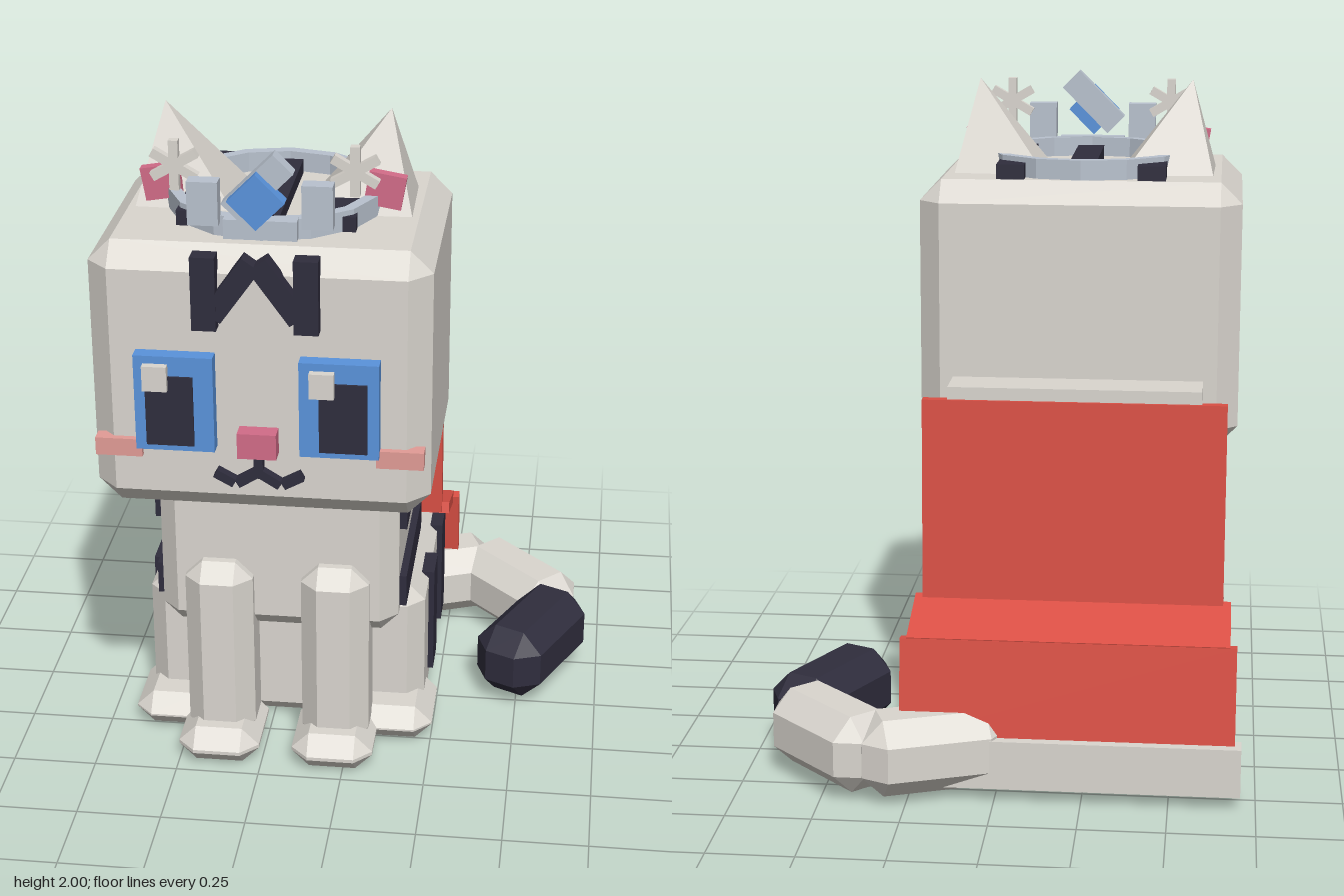
import * as THREE from 'three';
import { ConvexGeometry } from 'three/addons/geometries/ConvexGeometry.js';

const CX = -0.206; // the body's own mirror axis

const mat = (name, color) => {
  const m = new THREE.MeshStandardMaterial({ color });
  m.name = name;
  return m;
};

// Box with every edge and corner cut flat
function chamferBox(w, h, d, c) {
  const pts = [];
  for (const x of [-1, 1]) for (const y of [-1, 1]) for (const z of [-1, 1]) {
    const X = x * w / 2, Y = y * h / 2, Z = z * d / 2;
    pts.push(
      new THREE.Vector3(X, Y - y * c, Z - z * c),
      new THREE.Vector3(X - x * c, Y, Z - z * c),
      new THREE.Vector3(X - x * c, Y - y * c, Z));
  }
  return new ConvexGeometry(pts);
}

export function createModel() {
  const fur = mat('fur', 0xdad6cf);
  const dark = mat('dark marking', 0x2f2d3d);
  const red = mat('cape red', 0xdb5045);
  const blue = mat('blue', 0x5a93dc);
  const pink = mat('pink', 0xd26c88);
  const blush = mat('blush', 0xe29c96);
  const silver = mat('silver', 0xb9c2ce);

  const model = new THREE.Group();
  model.name = 'sittingCat';

  const add = (name, geo, material, x = 0, y = 0, z = 0) => {
    const m = new THREE.Mesh(geo, material);
    m.name = name;
    m.position.set(x, y, z);
    model.add(m);
    return m;
  };
  // Box from its limits on each axis, chamfered if c > 0
  const box = (name, material, [x0, x1], [y0, y1], [z0, z1], c = 0) => {
    const s = [x1 - x0, y1 - y0, z1 - z0];
    return add(name, c ? chamferBox(...s, c) : new THREE.BoxGeometry(...s), material,
      (x0 + x1) / 2, (y0 + y1) / 2, (z0 + z1) / 2);
  };
  // Limits centred on the mirror axis
  const mid = (halfWidth) => [CX - halfWidth, CX + halfWidth];
  // Box repeated on both sides: a..b are distances from the axis
  const pair = (name, material, [a, b], y, z, c = 0) => {
    box(name + 'Left', material, [CX + a, CX + b], y, z, c);
    box(name + 'Right', material, [CX - b, CX - a], y, z, c);
  };

  // Body
  box('head', fur, mid(0.47), [0.945, 1.73], [-0.15, 0.613], 0.063);
  box('torso', fur, mid(0.357), [0.4, 1.14], [-0.23, 0.325], 0.053);
  box('hips', fur, mid(0.425), [0.005, 0.475], [-0.48, 0.18], 0.05);
  pair('frontLeg', fur, [0.072, 0.275], [0.04, 0.64], [0.19, 0.4], 0.052);
  pair('frontPaw', fur, [0.05, 0.295], [0, 0.115], [0.18, 0.487], 0.052);
  pair('hindPaw', fur, [0.215, 0.46], [0.005, 0.115], [0.0, 0.305], 0.052);

  // Body stripes
  for (const y of [0.52, 0.78, 1.033])
    box('torsoStripe', dark, mid(0.378), [y - 0.05, y + 0.05], [-0.253, 0.25]);
  for (const z of [-0.065, -0.373])
    box('hipStripe', dark, mid(0.442), [0.1, 0.447], [z - 0.063, z + 0.063]);

  // Cape: straight panels along a bent side profile
  const capePath = [[1.11, -0.292], [0.515, -0.312], [0.455, -0.505], [0.18, -0.535]];
  [0.44, 0.463, 0.482].forEach((half, i) => {
    const [y0, z0] = capePath[i], [y1, z1] = capePath[i + 1];
    const len = Math.hypot(y1 - y0, z1 - z0);
    const panel = add('capePanel', new THREE.BoxGeometry(half * 2, 0.036, len + 0.02), red,
      CX, (y0 + y1) / 2, (z0 + z1) / 2);
    panel.rotation.x = Math.atan2(y1 - y0, z0 - z1);
    panel.rotation.x = -Math.atan2(y1 - y0, z1 - z0);
  });
  box('capeCollar', fur, mid(0.367), [1.075, 1.157], [-0.298, -0.16]);
  box('capeTrim', fur, mid(0.5), [0.04, 0.185], [-0.583, -0.518]);

  // Tail: three segments curling forward
  for (const [name, m, x, z, turn] of [
    ['tailBase', fur, 0.187, -0.53, 0.368],
    ['tailMiddle', fur, 0.48, -0.465, -Math.PI / 4],
    ['tailTip', dark, 0.54, -0.147, -2.01]])
    add(name, chamferBox(0.43, 0.23, 0.225, 0.063), m, x, 0.14, z).rotation.y = turn;

  // Ears: leaning pyramids with an inner plate
  for (const s of [-1, 1]) {
    const v = (x, y, z) => new THREE.Vector3(CX + s * x, y, z);
    add('ear', new ConvexGeometry([
      v(0.105, 1.72, 0.015), v(0.385, 1.72, 0.04), v(0.39, 1.72, 0.3), v(0.105, 1.72, 0.307),
      v(0.317, 2, 0.167)]), fur);
    add('innerEar', new THREE.BoxGeometry(0.105, 0.095, 0.032), pink,
      CX + s * 0.312, 1.803, 0.28).rotation.z = -s * 0.17;
  }

  // Stripes on top of the head
  box('crownStripe', dark, mid(0.04), [1.72, 1.77], [-0.04, 0.43]);
  pair('crownStripe', dark, [0.165, 0.247], [1.72, 1.773], [-0.08, 0.43]);

  // Forehead marking
  const F = [0.6, 0.652];
  pair('foreheadBar', dark, [0.105, 0.172], [1.515, 1.725], F);
  for (const s of [-1, 1])
    add('foreheadSlant', new THREE.BoxGeometry(0.06, 0.19, 0.05), dark,
      CX + s * 0.063, 1.632, 0.625).rotation.z = s * 0.62;

  // Face
  for (const s of [-1, 1]) {
    const x = CX + s * 0.226;
    box('iris', blue, [x - 0.109, x + 0.109], [1.157, 1.437], [0.6, 0.657]);
    const p = CX + s * 0.238;
    box('pupil', dark, [p - 0.066, p + 0.066], [1.175, 1.38], [0.61, 0.664]);
    const g = s < 0 ? -0.48 : -0.025;
    box('eyeGlint', fur, [g - 0.034, g + 0.034], [1.342, 1.415], [0.62, 0.68]);

    const inner = add('mouthInner', new THREE.BoxGeometry(0.07, 0.026, 0.04), dark,
      CX + s * 0.03, 1.073, 0.622);
    inner.rotation.z = -s * 0.55;
    const outer = add('mouthOuter', new THREE.BoxGeometry(0.06, 0.026, 0.04), dark,
      CX + s * 0.094, 1.07, 0.622);
    outer.rotation.z = s * 0.5;
  }
  box('nose', pink, mid(0.054), [1.145, 1.22], [0.6, 0.665]);
  box('mouthStem', dark, mid(0.013), [1.075, 1.15], [0.6, 0.642]);
  pair('cheek', blush, [0.325, 0.456], [1.12, 1.172], [0.587, 0.632]);

  // Tiara band: a faceted ring of rectangular section
  const section = [[0.272, 1.73], [0.305, 1.73], [0.305, 1.788], [0.272, 1.788], [0.272, 1.73]]
    .map(([r, y]) => new THREE.Vector2(r, y));
  const ring = new THREE.LatheGeometry(section, 14).toNonIndexed();
  ring.computeVertexNormals();
  add('tiaraBand', ring, silver, CX, 0, 0.217);

  // Tiara points, centre jewel and its backing
  pair('tiaraPoint', silver, [0.113, 0.197], [1.77, 1.893], [0.485, 0.532]);
  box('jewelMount', silver, mid(0.1), [1.735, 1.79], [0.49, 0.532]);
  add('jewelBacking', new THREE.BoxGeometry(0.2, 0.075, 0.045), silver,
    CX, 1.893, 0.55).rotation.z = Math.PI / 4;
  add('jewel', new THREE.BoxGeometry(0.11, 0.11, 0.045), blue,
    CX, 1.866, 0.58).rotation.z = Math.PI / 4;

  // Snowflake ornaments: three crossed bars each
  for (const s of [-1, 1]) for (let i = 0; i < 3; i++)
    add('snowflakeBar', new THREE.BoxGeometry(0.026, 0.14, 0.024), fur,
      CX + s * 0.246, 1.906, 0.433).rotation.z = i * Math.PI / 3;

  return model;
}
